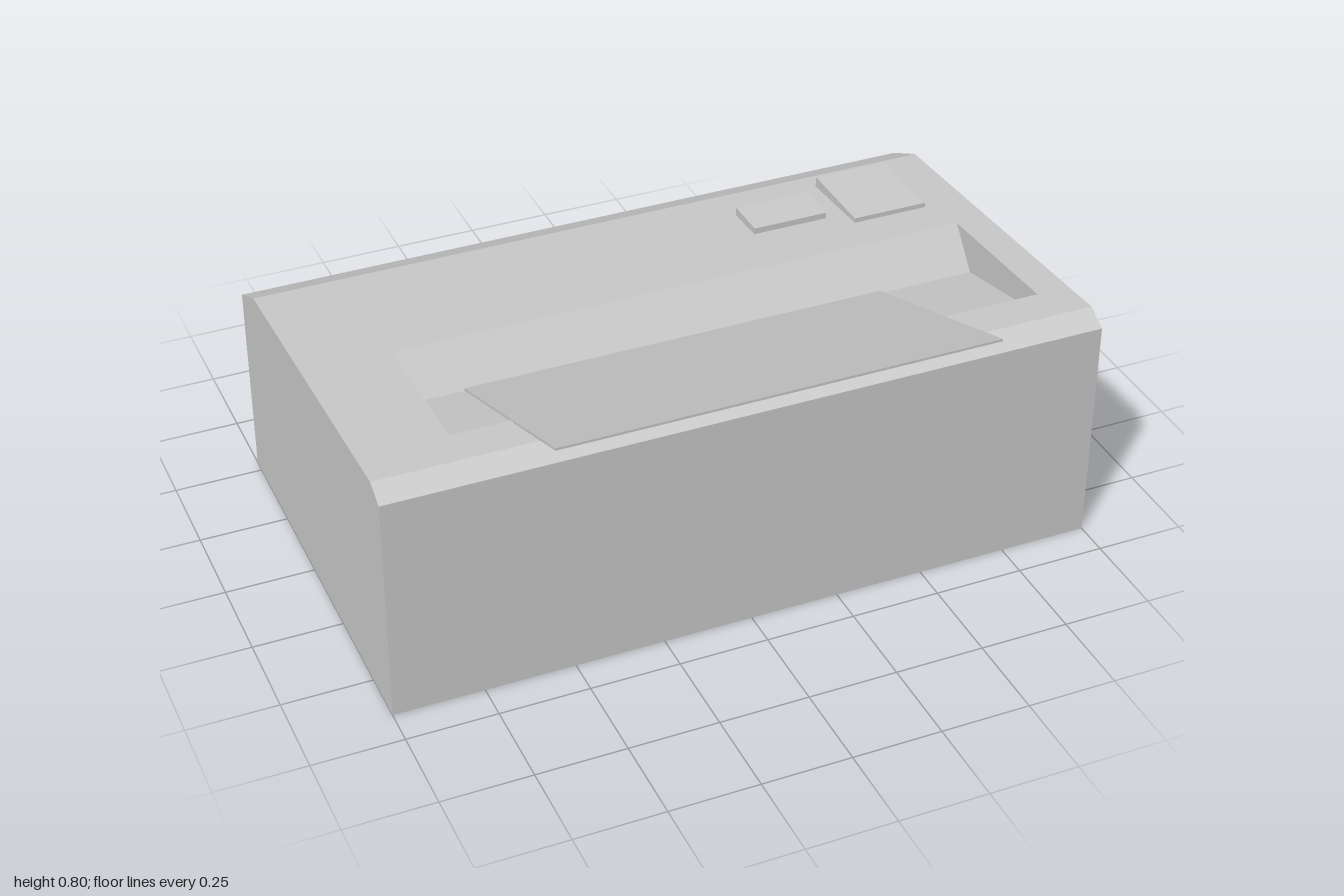
import * as THREE from 'three';

const casing = new THREE.MeshStandardMaterial({ color: 0xcccccc });
casing.name = 'light grey';

// Extrudes a side profile of [z, y] points from x0 to x1
function slab(name, points, x0, x1) {
  const shape = new THREE.Shape(points.map(([z, y]) => new THREE.Vector2(z, y)));
  const geometry = new THREE.ExtrudeGeometry(shape, { depth: x1 - x0, bevelEnabled: false });
  geometry.rotateY(-Math.PI / 2);
  geometry.translate(x1, 0, 0);
  const mesh = new THREE.Mesh(geometry, casing);
  mesh.name = name;
  return mesh;
}

// Thin sloping sheet whose lower face runs from point a to point b
function sheet(name, a, b, x0, x1) {
  const t = 0.007;
  return slab(name, [a, b, [b[0], b[1] + t], [a[0], a[1] + t]], x0, x1);
}

export function createModel() {
  const model = new THREE.Group();
  model.name = 'printer';

  // Casing: solid ends around a middle with the paper recess cut into its top
  const base = [[0.65, 0], [-0.54, 0], [-0.54, 0.565], [-0.415, 0.626]];
  const rear = [[0.59, 0.69], [0.65, 0.657]];
  const recess = [[0.02, 0.654], [0.11, 0.545], [0.47, 0.625], [0.47, 0.682]];
  const body = new THREE.Group();
  body.name = 'casing';
  body.add(
    slab('casingRight', [...base, ...rear], -1, -0.755),
    slab('casingMiddle', [...base, ...recess, ...rear], -0.755, 0.905),
    slab('casingLeft', [...base, ...rear], 0.905, 1)
  );
  model.add(body);

  // Paper going in at the top and coming out low at the other side
  model.add(
    sheet('inputPaper', [0.11, 0.546], [0.775, 0.789], -0.59, 0.625),
    sheet('outputPaper', [-0.53, 0.114], [-0.775, 0.06], -0.595, 0.62)
  );

  // Raised control buttons, sunk slightly into the sloping top
  for (const [name, x0, x1, z0, z1] of [
    ['largeButton', 0.65, 0.87, -0.355, -0.105],
    ['smallButton', 0.37, 0.59, -0.29, -0.165]
  ]) {
    const button = new THREE.Mesh(new THREE.BoxGeometry(x1 - x0, 0.06, z1 - z0), casing);
    button.name = name;
    button.position.set((x0 + x1) / 2, 0.63, (z0 + z1) / 2);
    model.add(button);
  }
  return model;
}
